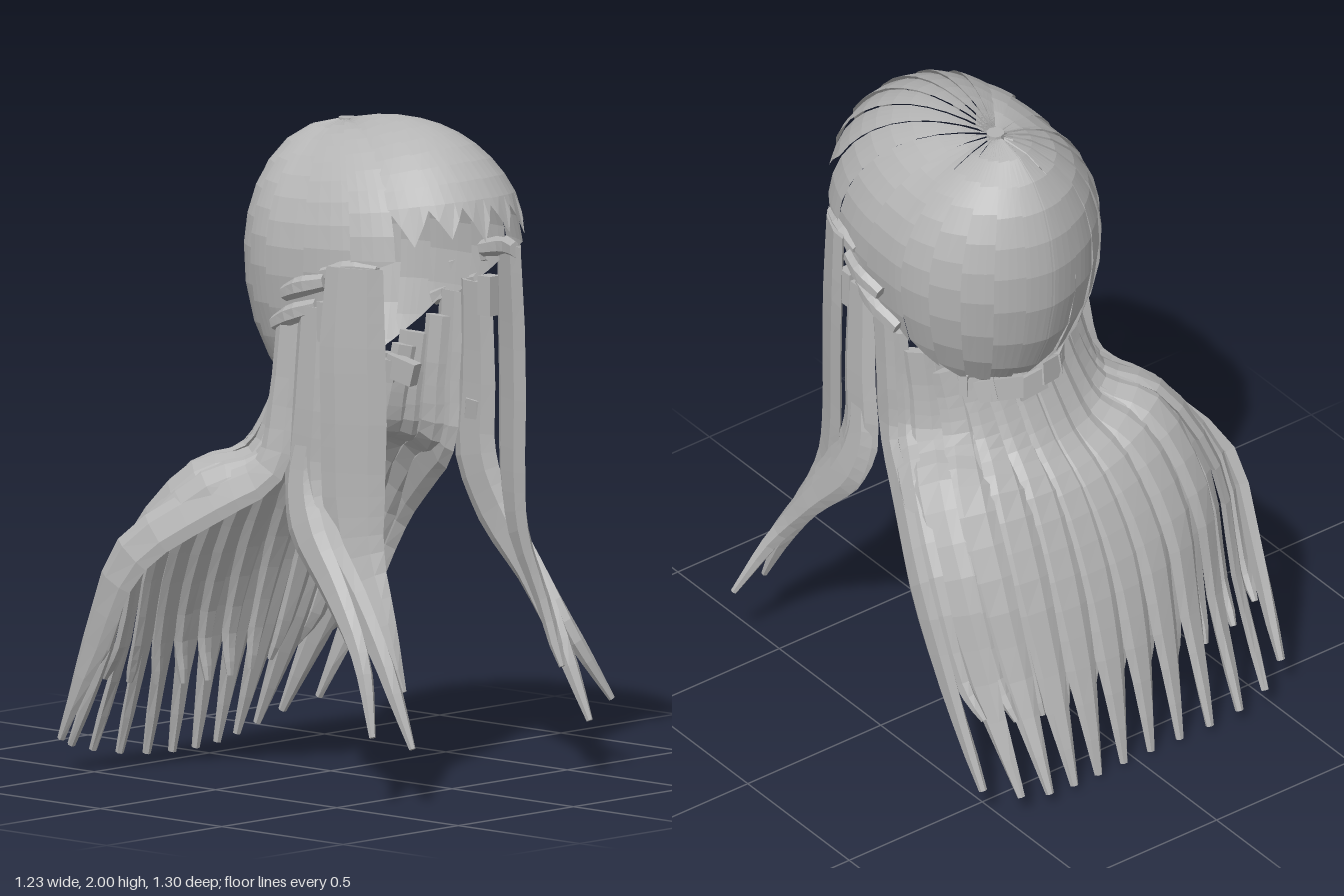
import * as THREE from 'three';

const hair = new THREE.MeshStandardMaterial({ color: 0xb4b4b4 });
hair.name = 'hair grey';
hair.flatShading = true;
hair.side = THREE.DoubleSide;

const V = (x, y, z) => new THREE.Vector3(x, y, z);
const rad = THREE.MathUtils.degToRad;
const lerp = THREE.MathUtils.lerp;
const CX = 0.06; // the head sits slightly to one side

// Grid surface from a function (i, j) => Vector3
function gridMesh(name, rows, cols, at) {
  const pos = [], idx = [];
  for (let i = 0; i <= rows; i++)
    for (let j = 0; j <= cols; j++) pos.push(...at(i, j).toArray());
  for (let i = 0; i < rows; i++)
    for (let j = 0; j < cols; j++) {
      const a = i * (cols + 1) + j, b = a + cols + 1;
      idx.push(a, b, a + 1, b, b + 1, a + 1);
    }
  const g = new THREE.BufferGeometry();
  g.setAttribute('position', new THREE.Float32BufferAttribute(pos, 3));
  g.setIndex(idx);
  g.computeVertexNormals();
  const m = new THREE.Mesh(g, hair);
  m.name = name;
  return m;
}

// Tapered lock of hair: oval section swept along a curve, wide along 'across'
function strand(name, points, widths, thick, across, rows = 18, sides = 6) {
  const curve = new THREE.CatmullRomCurve3(points);
  return gridMesh(name, rows + 2, sides, (i, j) => {
    const t = THREE.MathUtils.clamp((i - 1) / rows, 0, 1);
    const p = curve.getPoint(t), T = curve.getTangent(t);
    const W = across.clone().addScaledVector(T, -across.dot(T)).normalize();
    const N = V(0, 0, 0).crossVectors(W, T);
    const f = t * (widths.length - 1), k = Math.min(Math.floor(f), widths.length - 2);
    const end = i === 0 || i === rows + 2 ? 0 : 1; // closes both ends
    const w = end * lerp(widths[k], widths[k + 1], f - k) / 2;
    const h = end * Math.min(thick / 2, w);
    const a = (j / sides) * Math.PI * 2;
    return p.addScaledVector(W, Math.cos(a) * w).addScaledVector(N, Math.sin(a) * h);
  });
}

// Point on the crown; phi = 0 is the front, theta = 0 the parting at the top
function crownPoint(phi, theta, lift) {
  const c = Math.cos(theta), s = Math.sin(theta), f = Math.cos(phi);
  const up = Math.max(0, c);
  const x = 0.355 * s * Math.sin(phi);
  const y = (c > 0 ? 0.38 : 0.51) * c + 0.08 * Math.max(0, Math.sin(2 * theta)) * Math.max(0, f);
  const z = (f > 0 ? 0.56 * Math.pow(f, 0.75) : 0.35 * f) * s - 0.07 * up * up;
  return V(CX + x * lift, 1.58 + y * lift, 0.08 + z * lift);
}

// One overlapping gore of the crown, from angle a to b, ending at end(s)
function gore(name, a, b, end) {
  const body = 9, shortest = Math.min(end(0), end(1));
  return gridMesh(name, body + 1, 4, (i, j) => {
    const s = j / 4;
    const theta = i <= body ? lerp(4, shortest, i / body) : end(s);
    const phi = lerp(a, b, -0.04 + 1.1 * s);
    return crownPoint(rad(phi), rad(theta), 1 + 0.022 * s);
  });
}

function buildCrown() {
  const g = new THREE.Group();
  g.name = 'crown';
  // Fringe with pointed ends
  const n = 6, step = 104 / n;
  for (let k = 0; k < n; k++) {
    const a = -52 + k * step, tip = k % 2 ? 79 : 81;
    g.add(gore('fringe', a, a + step, (s) => lerp(67, tip, 1 - Math.abs(2 * s - 1))));
  }
  // Sides and back, getting longer toward the nape
  const ends = [86, 92, 106, 118, 128, 137, 144, 147, 147];
  const edges = [52, 68, 84, 100, 116, 132, 148, 164, 180];
  for (const side of [-1, 1])
    for (let k = 0; k < 8; k++)
      g.add(gore(k < 2 ? 'sidePanel' : 'backPanel', side * edges[k], side * edges[k + 1],
        (s) => lerp(ends[k], ends[k + 1], s)));
  // Small button where the panels meet
  const knot = new THREE.Mesh(new THREE.CylinderGeometry(0.027, 0.027, 0.025, 10), hair);
  knot.position.set(CX, 1.96, 0.012);
  knot.name = 'crownKnot';
  g.add(knot);
  return g;
}

// Paths of the back curtain: middle strand [y, z] and outermost strand [halfWidth, y, z]
const middle = [[1.2, -0.13], [1.1, -0.17], [0.97, -0.235], [0.85, -0.34], [0.62, -0.45], [0.35, -0.53], [0, -0.595]];
const outer = [[0.35, 1.42, 0.11], [0.36, 1.15, 0.1], [0.38, 0.96, 0.08], [0.46, 0.86, -0.06],
  [0.57, 0.69, -0.27], [0.575, 0.4, -0.42], [0.56, 0.1, -0.57]];
const shoulder = [0, 0, 0.03, 0.09, 0.05, 0.01, 0]; // bulge between middle and edge
function curtainPath(u, shorten = 0) {
  const w = Math.pow(Math.abs(u), 2.2);
  return middle.map(([my, mz], i) => {
    const [h, oy, oz] = outer[i], last = i === 6;
    const between = 4 * w * (1 - w);
    const bow = last ? -0.05 * between : 0; // tips there reach further back
    return V(lerp(CX, -0.01, Math.min(1, i / 4)) + h * u + Math.sign(u) * 0.6 * shoulder[i] * between,
      lerp(my, oy, i < 2 ? w * w : w) + shoulder[i] * between + (last ? shorten : 0),
      lerp(mz, oz, w) + bow + (last ? shorten * 0.35 : 0) + (shorten ? 0.02 : 0));
  });
}

function buildCurtain() {
  const g = new THREE.Group();
  g.name = 'backHair';
  const add = (u, shorten, widths) => {
    const across = curtainPath(u + 0.04)[3].sub(curtainPath(u - 0.04)[3]);
    g.add(strand('backStrand', curtainPath(u, shorten), widths, 0.035, across));
  };
  const n = 11;
  for (let k = 0; k <= n; k++) add(-1 + (2 * k) / n, 0, [0.1, 0.1, 0.11, 0.135, 0.135, 0.1, 0.025]);
  // Shorter layer underneath
  for (let k = 0; k < n; k++) add(-1 + (2 * k + 1) / n, 0.22, [0.08, 0.08, 0.1, 0.11, 0.1, 0.06, 0.02]);
  return g;
}

// Ragged band under the nape
function buildNape() {
  const g = new THREE.Group();
  g.name = 'napeBand';
  for (let k = 0; k < 9; k++) {
    const a = rad(-80 + 20 * k);
    const b = new THREE.Mesh(new THREE.BoxGeometry(0.1, 0.07, 0.04), hair);
    b.position.set(CX + 0.23 * Math.sin(a), 1.15 + 0.04 * (1 - Math.cos(a)) + 0.01 * (k % 2), 0.06 - 0.215 * Math.cos(a));
    b.rotation.set(0.2, -a, k % 2 ? 0.12 : -0.08);
    b.name = 'napeTuft';
    g.add(b);
  }
  return g;
}

function buildSide(side) {
  const g = new THREE.Group();
  g.name = side > 0 ? 'leftLocks' : 'rightLocks';
  const P = (d, y, z) => V(CX + side * d, y, z);
  // Flat panel in front of the ear, its front edge turned inward
  g.add(strand('frontPanel',
    [P(0.335, 1.59, 0.36), P(0.345, 1.35, 0.36), P(0.345, 1.12, 0.365), P(0.345, 0.9, 0.365), P(0.345, 0.72, 0.39), P(0.345, 0.52, 0.49), P(0.345, 0.33, 0.57)],
    [0.18, 0.21, 0.21, 0.2, 0.16, 0.08, 0.02], 0.04, V(-side * 0.08, 0, 0.18)));
  // Lock behind it that sweeps forward
  g.add(strand('sweptLock',
    [P(0.35, 1.46, 0.21), P(0.365, 1.15, 0.2), P(0.37, 0.93, 0.19), P(0.38, 0.77, 0.26), P(0.38, 0.6, 0.4), P(0.38, 0.4, 0.53), P(0.385, 0.17, 0.645)],
    [0.13, 0.15, 0.17, 0.16, 0.11, 0.07, 0.02], 0.05, V(0, 0, 1)));
  // Outer lock whose tip flicks outward
  const out = side > 0 ? 0.55 : 0.49;
  g.add(strand('outerLock',
    [P(0.36, 1.1, 0.2), P(0.38, 0.94, 0.18), P(0.4, 0.8, 0.22), P(0.42, 0.62, 0.36), P(0.45, 0.42, 0.5), P(out, 0.21, 0.58)],
    [0.08, 0.12, 0.14, 0.1, 0.06, 0.02], 0.05, V(0, 0, 1)));
  // Short wrapped tufts over the ear
  const tufts = [
    [[0.3, 1.58, 0.42], [0.335, 1.58, 0.34], [0.345, 1.56, 0.24]],
    [[0.36, 1.54, 0.26], [0.38, 1.52, 0.18], [0.365, 1.49, 0.1]],
    [[0.35, 1.46, 0.22], [0.365, 1.43, 0.13], [0.345, 1.39, 0.04]],
  ];
  for (const t of tufts)
    g.add(strand('earTuft', t.map((p) => P(...p)), [0.05, 0.065, 0.05], 0.04, V(0, 1, 0), 5));
  const pin = new THREE.Mesh(new THREE.BoxGeometry(0.05, 0.12, 0.05), hair);
  pin.position.copy(P(0.35, 1.42, 0.265));
  pin.name = 'earPin';
  g.add(pin);
  return g;
}

export function createModel() {
  const model = new THREE.Group();
  model.name = 'longHair';
  model.add(buildCrown(), buildCurtain(), buildNape(), buildSide(1), buildSide(-1));
  return model;
}
